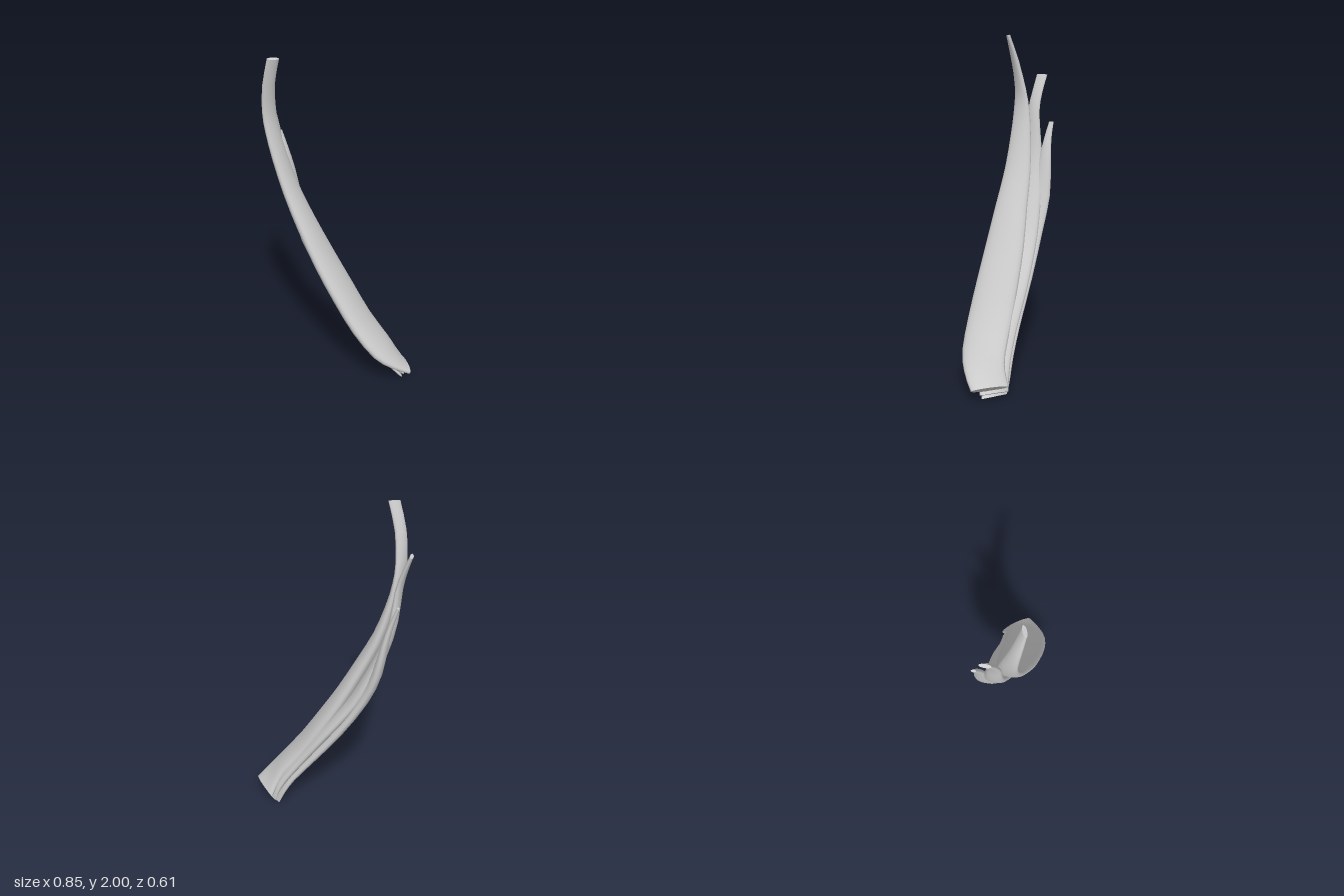
import * as THREE from 'three';

const SIDES = 20;
const material = new THREE.MeshStandardMaterial({ color: 0xcccccc, side: THREE.DoubleSide });

// Each row: centre x, y, z, half width, half thickness, heading of the width in degrees
const mainBand = [
  [0.322, 0.075, -0.266, 0.11, 0.026, 20],
  [0.302, 0.15, -0.19, 0.118, 0.038, 40],
  [0.262, 0.235, -0.125, 0.13, 0.046, 53],
  [0.165, 0.39, -0.052, 0.134, 0.05, 54],
  [0.065, 0.58, 0.01, 0.13, 0.05, 56],
  [-0.035, 0.78, 0.07, 0.12, 0.047, 57],
  [-0.13, 1.0, 0.13, 0.1, 0.043, 57],
  [-0.21, 1.2, 0.175, 0.083, 0.036, 58],
  [-0.262, 1.4, 0.213, 0.067, 0.03, 64],
  [-0.287, 1.55, 0.237, 0.056, 0.025, 74],
  [-0.29, 1.68, 0.255, 0.046, 0.021, 88],
  [-0.262, 1.84, 0.27, 0.036, 0.02, 105],
  [-0.21, 1.995, 0.271, 0.033, 0.012, 126],
];
const middleBand = [
  [0.285, 0.035, -0.258, 0.085, 0.018, 18],
  [0.262, 0.1, -0.222, 0.087, 0.026, 38],
  [0.213, 0.2, -0.17, 0.093, 0.032, 52],
  [0.128, 0.35, -0.108, 0.098, 0.035, 54],
  [0.005, 0.55, -0.043, 0.1, 0.036, 55],
  [-0.12, 0.75, 0.03, 0.093, 0.036, 56],
  [-0.195, 0.9, 0.072, 0.083, 0.035, 57],
  [-0.285, 1.15, 0.13, 0.065, 0.03, 58],
  [-0.325, 1.35, 0.165, 0.05, 0.025, 64],
  [-0.338, 1.54, 0.185, 0.04, 0.018, 72],
  [-0.37, 1.66, 0.19, 0.034, 0.014, 66],
  [-0.408, 1.76, 0.193, 0.033, 0.01, 57],
];
const lowerBand = [
  [0.275, 0.008, -0.245, 0.08, 0.012, 12],
  [0.223, 0.1, -0.207, 0.074, 0.022, 35],
  [0.167, 0.2, -0.163, 0.074, 0.026, 50],
  [0.072, 0.35, -0.099, 0.076, 0.03, 53],
  [-0.088, 0.6, -0.012, 0.077, 0.032, 55],
  [-0.223, 0.85, 0.053, 0.072, 0.032, 56],
  [-0.303, 1.05, 0.068, 0.06, 0.029, 58],
  [-0.343, 1.25, 0.08, 0.04, 0.02, 62],
  [-0.373, 1.38, 0.092, 0.024, 0.014, 60],
  [-0.408, 1.485, 0.1, 0.014, 0.007, 50],
];

// Doubles the rows along a smooth curve
function refine(rows) {
  const part = k => new THREE.CatmullRomCurve3(
    rows.map(r => new THREE.Vector3(...r.slice(k, k + 3))), false, 'catmullrom');
  const path = part(0), size = part(3), steps = (rows.length - 1) * 2;
  return Array.from({ length: steps + 1 }, (_, i) => ({
    centre: path.getPoint(i / steps),
    tangent: path.getTangent(i / steps),
    size: size.getPoint(i / steps),
  }));
}

// Sweeps an oval along the rows and closes both ends
function createBand(name, rows) {
  const rings = refine(rows).map(({ centre, tangent, size }) => {
    const a = THREE.MathUtils.degToRad(size.z);
    const u = new THREE.Vector3(Math.cos(a), 0, Math.sin(a));
    const v = tangent.clone().cross(u).normalize();
    const points = Array.from({ length: SIDES }, (_, j) => {
      const t = (j / SIDES) * Math.PI * 2;
      return centre.clone().addScaledVector(u, size.x * Math.cos(t)).addScaledVector(v, size.y * Math.sin(t));
    });
    return { centre, points };
  });

  const sidePositions = [], sideIndex = [];
  rings.forEach((ring, i) => {
    ring.points.forEach((p, j) => {
      sidePositions.push(p.x, p.y, p.z);
      if (i === rings.length - 1) return;
      const a = i * SIDES + j, b = i * SIDES + (j + 1) % SIDES;
      sideIndex.push(a, b, a + SIDES, b, b + SIDES, a + SIDES);
    });
  });
  const group = new THREE.Group();
  group.name = name;
  addMesh(group, 'strand', sidePositions, sideIndex);

  // End caps
  [[rings[0], true], [rings[rings.length - 1], false]].forEach(([ring, isBottom]) => {
    const positions = [ring.centre, ...ring.points].flatMap(p => p.toArray());
    const index = [];
    for (let j = 0; j < SIDES; j++) {
      const a = j + 1, b = (j + 1) % SIDES + 1;
      index.push(0, ...(isBottom ? [b, a] : [a, b]));
    }
    addMesh(group, isBottom ? 'lowerEnd' : 'upperEnd', positions, index);
  });
  return group;
}

function addMesh(group, name, positions, index) {
  const geometry = new THREE.BufferGeometry();
  geometry.setAttribute('position', new THREE.Float32BufferAttribute(positions, 3));
  geometry.setIndex(index);
  geometry.computeVertexNormals();
  const mesh = new THREE.Mesh(geometry, material);
  mesh.name = name;
  group.add(mesh);
}

export function createModel() {
  const model = new THREE.Group();
  model.name = 'threeStrandBundle';
  model.add(
    createBand('mainBand', mainBand),
    createBand('middleBand', middleBand),
    createBand('lowerBand', lowerBand),
  );
  return model;
}
